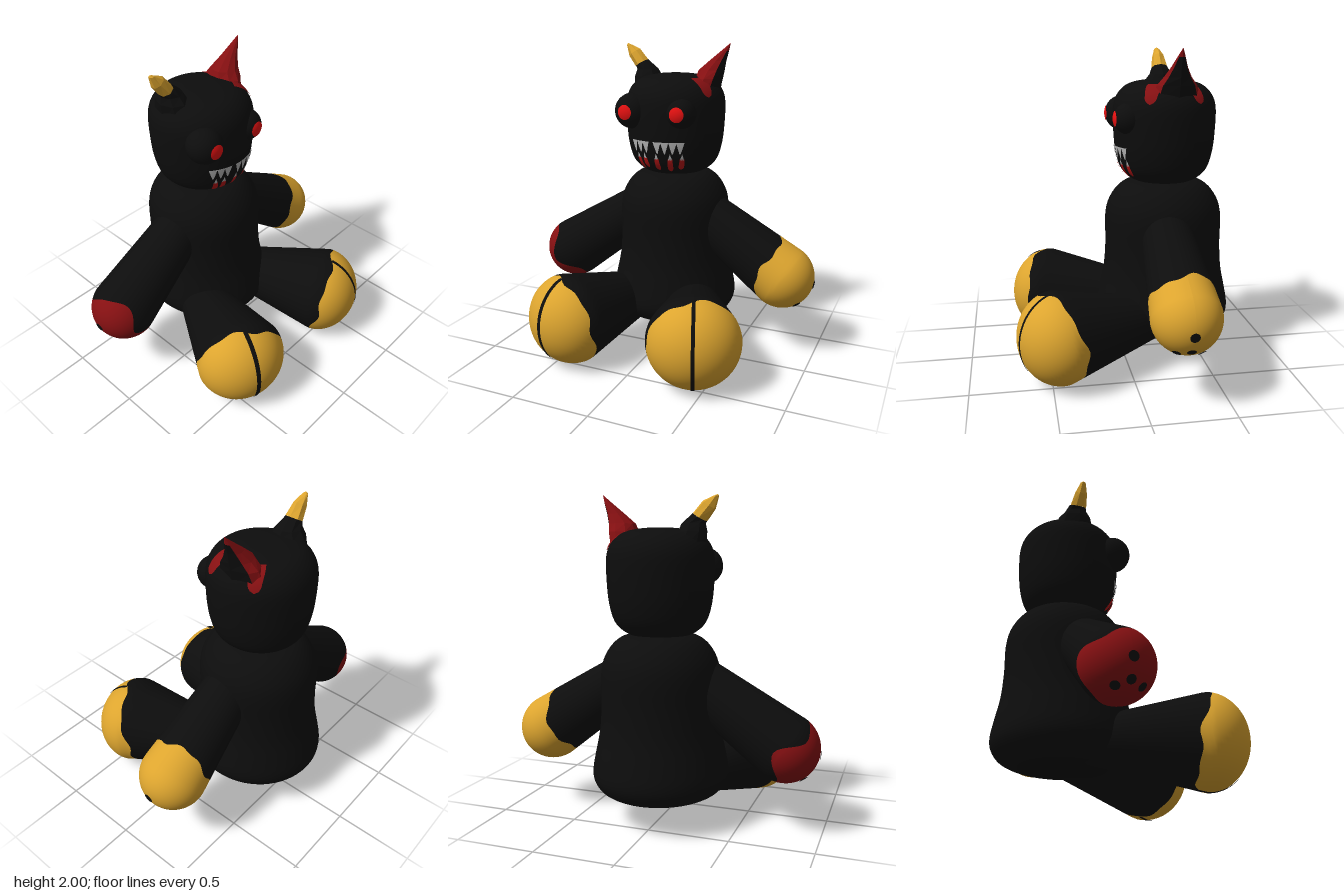
import * as THREE from 'three';

const mat = (name, color, side = THREE.FrontSide) => {
  const m = new THREE.MeshStandardMaterial({ color, side });
  m.name = name;
  return m;
};
const V = (x, y, z) => new THREE.Vector3(x, y, z);

// Surface P(u, v) over the unit square; front side follows dP/du x dP/dv
function grid(name, material, nu, nv, P, flat = false) {
  const pos = [], index = [];
  for (let j = 0; j <= nv; j++)
    for (let i = 0; i <= nu; i++) pos.push(...P(i / nu, j / nv).toArray());
  for (let j = 0; j < nv; j++)
    for (let i = 0; i < nu; i++) {
      const a = j * (nu + 1) + i, b = a + 1, c = b + nu + 1, d = a + nu + 1;
      index.push(a, b, c, a, c, d);
    }
  let geo = new THREE.BufferGeometry();
  geo.setAttribute('position', new THREE.Float32BufferAttribute(pos, 3));
  geo.setIndex(index);
  if (flat) geo = geo.toNonIndexed();
  geo.computeVertexNormals();
  const mesh = new THREE.Mesh(geo, material);
  mesh.name = name;
  return mesh;
}

const smoothProfile = (pts) =>
  new THREE.SplineCurve(pts.map((p) => new THREE.Vector2(...p))).getPoints(48);

export function createModel() {
  const root = new THREE.Group();
  root.name = 'hornedBear';
  const black = mat('blackFur', 0x0d0d0d);
  const gold = mat('goldFur', 0xdda52f);
  const blood = mat('driedBlood', 0x861012);
  const fresh = mat('freshBlood', 0xb81616);
  const eyeRed = mat('eyeRed', 0xee1212);
  const bone = mat('toothGrey', 0xb4b4b4);
  const zc = -0.275;

  // Body and head: smooth turned shapes
  const turned = (name, profile) => {
    const m = new THREE.Mesh(new THREE.LatheGeometry(profile, 64), black);
    m.name = name;
    m.position.z = zc;
    root.add(m);
    return m;
  };
  turned('body', smoothProfile([[0, 0.16], [0.25, 0.165], [0.37, 0.2], [0.425, 0.26], [0.437, 0.33],
    [0.42, 0.43], [0.39, 0.58], [0.378, 0.75], [0.378, 0.93], [0.35, 1.04], [0.28, 1.13], [0.18, 1.17], [0, 1.18]]))
    .scale.x = 0.96;
  const headProfile = smoothProfile([[0, 1.15], [0.15, 1.16], [0.225, 1.19], [0.28, 1.25], [0.31, 1.35],
    [0.323, 1.47], [0.326, 1.62], [0.305, 1.7], [0.26, 1.755], [0.2, 1.785], [0.1, 1.802], [0, 1.805]]);
  turned('head', headProfile);

  // Head radius at a height, and thin patches that hug the head
  const headRadius = (y) => {
    const i = Math.max(1, headProfile.findIndex((p) => p.y >= y));
    const a = headProfile[i - 1], b = headProfile[i];
    return a.x + (b.x - a.x) * (y - a.y) / (b.y - a.y);
  };
  const headPatch = (name, material, angle, y0, y1, halfWidth) =>
    root.add(grid(name, material, 6, 10, (u, v) => {
      const y = y0 + (y1 - y0) * v, r = headRadius(y) + 0.006;
      const a = angle + (u * 2 - 1) * halfWidth(v);
      return V(r * Math.sin(a), y, zc + r * Math.cos(a));
    }));

  // Teeth: upper fangs, lower fangs and blood running from them
  for (const x of [-0.17, -0.125, -0.08, 0.0, 0.05, 0.1, 0.145])
    headPatch('upperTooth', bone, Math.asin(x / 0.315), 1.32, 1.395, (v) => 0.012 + 0.072 * v);
  for (const [x, low] of [[-0.145, 1.2], [-0.095, 1.215], [-0.01, 1.2], [0.08, 1.195], [0.15, 1.21]]) {
    const a = Math.asin(x / 0.3);
    headPatch('lowerTooth', bone, a, 1.28, 1.32, (v) => 0.045 * (1 - v));
    headPatch('toothBlood', fresh, a, low, 1.285,
      (v) => 0.075 * Math.sqrt(Math.min(1, v * 4)) * (1 - 0.35 * v));
  }

  // Eyes: swollen sockets with a round red cap
  for (const [x, r, z, turn] of [[-0.205, 0.115, -0.04, -0.06], [0.135, 0.1, -0.028, 0.06]]) {
    const socket = new THREE.Mesh(new THREE.SphereGeometry(r, 32, 24), black);
    socket.name = 'eyeSocket';
    socket.position.set(x, 1.575, z);
    const cap = new THREE.SphereGeometry(r + 0.004, 32, 8, 0, Math.PI * 2, 0, Math.asin(0.046 / r));
    cap.rotateX(Math.PI / 2).rotateY(turn);
    const eye = new THREE.Mesh(cap, eyeRed);
    eye.name = 'eye';
    socket.add(eye);
    root.add(socket);
  }

  // Horn-like ears from rings [centre x, height, half width, half depth, tilt]
  const ear = (name, material, rings, n, t0 = 0, t1 = Math.PI * 2) =>
    root.add(grid(name, material, n, rings.length - 1, (u, v) => {
      const [cx, y, rx, rz, tilt = 0] = rings[Math.round(v * (rings.length - 1))];
      const t = t0 + (t1 - t0) * u;
      return V(cx + rx * Math.cos(t), y + tilt * Math.cos(t), -0.3 - rz * Math.sin(t));
    }, true));
  const leftRings = [[0.2, 1.68, 0.09, 0.16], [0.225, 1.78, 0.09, 0.125], [0.24, 1.83, 0.085, 0.085],
    [0.28, 1.89, 0.055, 0.05], [0.325, 1.95, 0.026, 0.024], [0.36, 2.0, 0.001, 0.001]];
  const w = 0.9;
  ear('leftEarBlood', blood, leftRings, 7, w, Math.PI * 2 - w);
  ear('leftEarOuter', black, leftRings.slice(0, 5), 2, -w, w);
  ear('leftEarTip', blood, leftRings.slice(4), 2, -w, w);
  const rightRings = [[-0.2, 1.68, 0.09, 0.15], [-0.21, 1.78, 0.09, 0.11], [-0.215, 1.825, 0.075, 0.075],
    [-0.255, 1.862, 0.042, 0.055, 0.025], [-0.31, 1.93, 0.038, 0.04, 0.025],
    [-0.35, 1.98, 0.018, 0.018], [-0.36, 1.99, 0.001, 0.001]];
  ear('rightEarBase', black, rightRings.slice(0, 4), 8);
  ear('rightEarTip', gold, rightRings.slice(3), 7);
  // Blood running down the head in front of and behind the left ear
  for (const a of [1.08, 2.1])
    headPatch('earDrip', blood, a, 1.67, 1.785,
      (v) => 0.11 * Math.sqrt(Math.min(1, v * 4)) + 0.12 * v * v);

  // Limbs: tapered tubes with a domed end, fur colour changing along a wavy edge
  function limb(name, pawMat, { c, d, up, len, r0, r1, cap }, m, edge) {
    const side = d.clone().cross(up);
    const toP = (s) => (s < 0 ? s / len : Math.asin(s / cap) * 2 / Math.PI);
    const point = (t, p, lift = 0) => {
      const q = p * Math.PI / 2;
      const s = p < 0 ? p * len : (cap + lift) * Math.sin(q);
      const r = p < 0 ? r1 + (r1 - r0) * p + lift : (r1 + lift) * Math.cos(q);
      return c.clone().addScaledVector(d, s)
        .addScaledVector(up, r * Math.cos(t)).addScaledVector(side, r * Math.sin(t));
    };
    const bound = (t) => toP(edge(Math.cos(t), m * Math.sin(t), m * t));
    const g = new THREE.Group();
    g.name = name;
    g.add(grid(name + 'Fur', black, 56, 20, (u, v) => {
      const t = u * Math.PI * 2;
      return point(t, -1 + (bound(t) + 1) * v);
    }));
    g.add(grid(name + 'Paw', pawMat, 56, 24, (u, v) => {
      const t = u * Math.PI * 2, b = bound(t);
      return point(t, b + (1 - b) * v);
    }));
    root.add(g);
    return { g, point, bound, side };
  }

  for (const m of [1, -1]) {
    const label = m > 0 ? 'left' : 'right';

    // Arm
    const arm = {
      c: V(m * 0.77, 0.52, -0.245), d: V(m * 0.83, -0.56, 0).normalize(),
      up: V(m * 0.56, 0.83, 0).normalize(), len: 0.75, r0: 0.15, r1: 0.21, cap: 0.21,
    };
    const { g } = limb(label + 'Arm', m > 0 ? gold : blood, arm, m, m > 0
      ? (top, front, t) => -0.11 - 0.04 * top + 0.02 * Math.sin(3 * t) + 0.008 * Math.sin(8 * t)
      : (top, front, t) => 0.03 - 0.05 * Math.sin(3 * t) + 0.015 * Math.sin(5 * t));

    // Paw pads
    for (const [z, y, r] of [[-0.24, 0.49, 0.029], [-0.16, 0.372, 0.027], [-0.235, 0.387, 0.027], [-0.305, 0.36, 0.027]]) {
      const dy = y - 0.52, dz = z + 0.245;
      const n = V(m * Math.sqrt(0.21 ** 2 - dy * dy - dz * dz), dy, dz).normalize();
      const pad = new THREE.Mesh(new THREE.CircleGeometry(r, 20), black);
      pad.name = 'pawPad';
      pad.position.copy(arm.c).addScaledVector(n, 0.214);
      pad.lookAt(pad.position.clone().add(n));
      g.add(pad);
    }

    // Leg
    const leg = limb(label + 'Leg', gold, {
      c: V(m * 0.42, 0.292, 0.45), d: V(m * 0.34, 0, 0.94).normalize(),
      up: V(0, 1, 0), len: 0.69, r0: 0.13, r1: 0.29, cap: 0.255,
    }, m, (top, inner, t) => 0.005 + 0.06 * top + 0.055 * inner + 0.012 * Math.sin(5 * t) + 0.008 * Math.sin(9 * t));

    // Sole stripe running over the foot from top to bottom
    const start = leg.bound(0), end = leg.bound(Math.PI);
    leg.g.add(grid('footStripe', black, 2, 48, (u, v) => {
      const a = start + (2 - end - start) * v; // past 1 it comes down the other side
      const p = a > 1 ? leg.point(Math.PI, 2 - a, 0.004) : leg.point(0, a, 0.004);
      return p.addScaledVector(leg.side, (u * 2 - 1) * (m > 0 ? 0.011 : 0.014));
    }));
  }
  return root;
}
